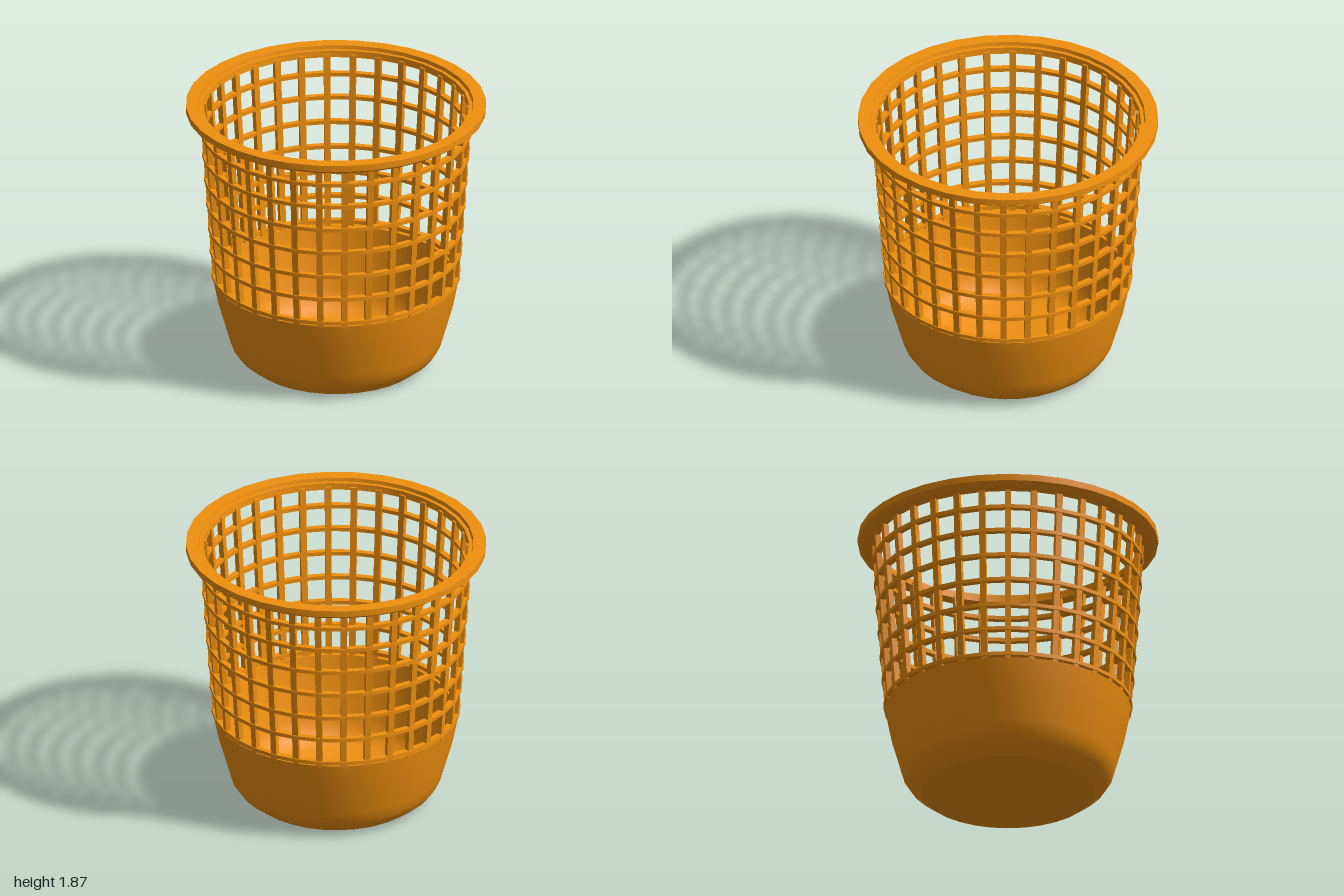
import * as THREE from 'three';
import { toCreasedNormals } from 'three/addons/utils/BufferGeometryUtils.js';

const SIDES = 32;

export function createModel() {
  const basket = new THREE.Group();
  basket.name = 'wasteBasket';
  const material = new THREE.MeshStandardMaterial({ color: 0xf0900f });

  const add = (name, geometry, parent = basket) => {
    const mesh = new THREE.Mesh(geometry, material);
    mesh.name = name;
    parent.add(mesh);
    return mesh;
  };

  // Profiles run up the outside and back down the inside
  const turned = (profile, crease = 0.5) => toCreasedNormals(
    new THREE.LatheGeometry(profile.map(([r, y]) => new THREE.Vector2(r, y)), SIDES), crease);

  // Outer radius of the flaring lattice at a given height
  const latticeRadius = (y) => 0.82 + (y - 0.61) * 0.071;

  // Solid lower bowl with a thin wall and flat floor
  add('bowl', turned([
    [0, 0], [0.57, 0], [0.66, 0.07], [0.70, 0.13], [0.72, 0.2], [0.785, 0.43], [0.82, 0.61],
    [0.78, 0.61], [0.745, 0.43], [0.685, 0.2], [0.665, 0.14], [0.625, 0.08], [0.545, 0.03], [0, 0.03],
  ], 0.6));

  // Horizontal hoops
  const hoops = new THREE.Group();
  hoops.name = 'hoops';
  basket.add(hoops);
  for (const y of [0.635, 0.815, 0.985, 1.165, 1.34, 1.515, 1.68]) {
    const outer = latticeRadius(y) + 0.008;
    const inner = outer - 0.04;
    const h = 0.013;
    add('hoop', turned([
      [inner, y - h], [outer, y - h], [outer, y + h], [inner, y + h], [inner, y - h],
    ]), hoops);
  }

  // Upright ribs, leaning outwards with the flare
  const ribs = new THREE.Group();
  ribs.name = 'ribs';
  basket.add(ribs);
  const bottom = 0.6, top = 1.82, depth = 0.036;
  const ribGeometry = new THREE.BoxGeometry(0.042, top - bottom, depth);
  ribGeometry.translate(0, (top + bottom) / 2, -depth / 2);
  const pos = ribGeometry.attributes.position;
  for (let i = 0; i < pos.count; i++) pos.setZ(i, pos.getZ(i) + latticeRadius(pos.getY(i)));
  ribGeometry.computeVertexNormals();
  for (let i = 0; i < SIDES; i++) {
    add('rib', ribGeometry, ribs).rotation.y = (i / SIDES) * Math.PI * 2;
  }

  // Top rim with a chamfered underside and a small inner step
  add('rim', turned([
    [0.88, 1.8], [0.965, 1.8], [1, 1.825], [1, 1.87], [0.915, 1.87],
    [0.91, 1.845], [0.885, 1.845], [0.88, 1.8],
  ]));

  return basket;
}
